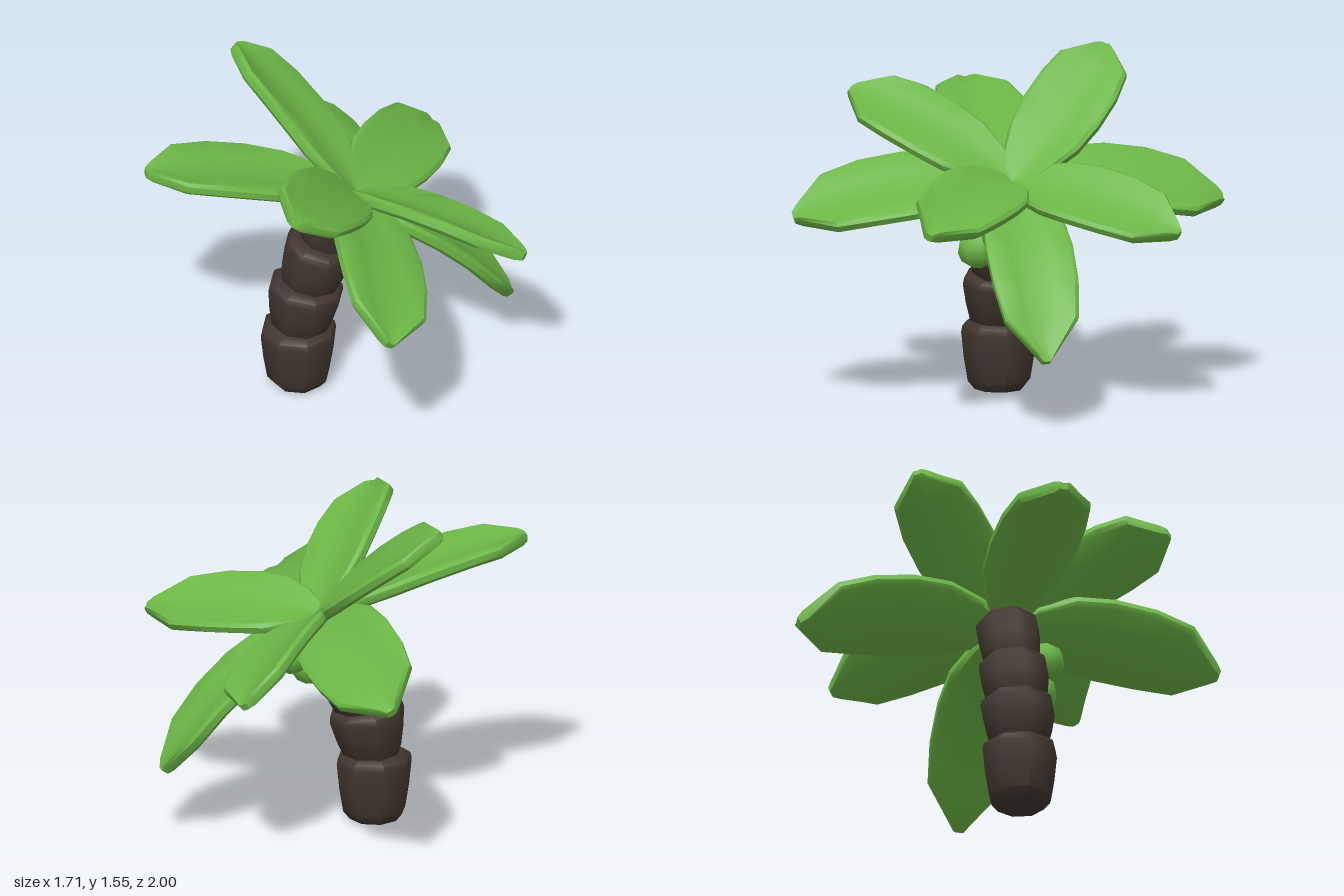
import * as THREE from 'three';
import { toCreasedNormals } from 'three/addons/utils/BufferGeometryUtils.js';

const V = (a) => new THREE.Vector3(...a);

// Half-width (relative) and thickness (relative) along a leaf: [t, width, thickness]
const LEAF_STATIONS = [
  [0, 0.25, 0.8], [0.12, 0.62, 1], [0.28, 0.92, 1], [0.45, 1, 1], [0.64, 0.98, 1],
  [0.82, 0.85, 1], [0.97, 0.22, 0.95], [1, 0.1, 0.6],
];

// Leaf cross-section, counter-clockwise: [across, thickness]
const LEAF_SECTION = [
  [1, -0.25], [1, 0.25], [0.9, 0.5], [0.45, 0.45], [0, 0.45], [-0.45, 0.45], [-0.9, 0.5],
  [-1, 0.25], [-1, -0.25], [-0.9, -0.5], [-0.45, -0.5], [0, -0.5], [0.45, -0.5], [0.9, -0.5],
];

// Bent leaf through base, mid and tip; side is its half-width vector at the middle
function leafGeometry(base, mid, tip, side) {
  const a = V(base), m = V(mid), b = V(tip);
  const control = m.clone().multiplyScalar(2).addScaledVector(a, -0.5).addScaledVector(b, -0.5);
  const curve = new THREE.QuadraticBezierCurve3(a, control, b);
  const half = V(side).length(), thick = 0.06, valley = 0.18;
  const positions = [], index = [], n = LEAF_SECTION.length;
  for (const [t, w, th] of LEAF_STATIONS) {
    const c = curve.getPoint(t), tangent = curve.getTangent(t);
    const s = V(side).addScaledVector(tangent, -V(side).dot(tangent)).normalize();
    const up = tangent.clone().cross(s);
    if (up.y < 0) { up.negate(); s.negate(); }
    for (const [u, v] of LEAF_SECTION) {
      const lift = valley * half * w * (Math.abs(u) - 0.5);
      const p = c.clone().addScaledVector(s, u * half * w).addScaledVector(up, v * thick * th + lift);
      positions.push(p.x, p.y, p.z);
    }
  }
  const last = (LEAF_STATIONS.length - 1) * n;
  for (let i = 0; i < last; i += n) {
    for (let j = 0; j < n; j++) {
      const k = (j + 1) % n;
      index.push(i + j, i + k, i + n + j, i + k, i + n + k, i + n + j);
    }
  }
  for (let j = 1; j < n - 1; j++) {
    index.push(0, j + 1, j, last, last + j, last + j + 1);
  }
  const g = new THREE.BufferGeometry();
  g.setAttribute('position', new THREE.Float32BufferAttribute(positions, 3));
  g.setIndex(index);
  return toCreasedNormals(g, 0.75);
}

// Flared trunk section with bevelled ends, height 1 unit scaled by h
function trunkGeometry(bottom, top, h) {
  const profile = [
    [0, 0], [bottom * 0.78, 0.01], [bottom, 0.05], [(bottom + top) * 0.51, h * 0.5],
    [top, h - 0.045], [top * 0.97, h - 0.015], [top * 0.8, h + 0.005], [0, h + 0.01],
  ].map(([x, y]) => new THREE.Vector2(x, y));
  return toCreasedNormals(new THREE.LatheGeometry(profile, 8), 0.85);
}

export function createModel() {
  const model = new THREE.Group();
  const green = new THREE.MeshStandardMaterial({ color: 0x6cb546 });
  green.name = 'leafGreen';
  const brown = new THREE.MeshStandardMaterial({ color: 0x40352d });
  brown.name = 'barkBrown';

  const add = (parent, name, geometry, material) => {
    const mesh = new THREE.Mesh(geometry, material);
    mesh.name = name;
    parent.add(mesh);
    return mesh;
  };

  // Leaning trunk of stacked sections: [x, y, lean, bottom radius, top radius, height]
  const trunk = new THREE.Group();
  trunk.name = 'trunk';
  model.add(trunk);
  [
    [-0.14, 0, 0, 0.145, 0.175, 0.32],
    [-0.14, 0.28, 0.15, 0.135, 0.175, 0.27],
    [-0.105, 0.51, 0.28, 0.135, 0.165, 0.26],
    [-0.035, 0.74, 0.36, 0.125, 0.15, 0.28],
  ].forEach(([x, y, lean, r0, r1, h], i) => {
    const section = add(trunk, `trunkSection${i + 1}`, trunkGeometry(r0, r1, h), brown);
    section.position.set(x, y, 0);
    section.rotation.z = -lean;
  });

  // Crown: name, base, middle, tip, half-width vector
  const crown = new THREE.Group();
  crown.name = 'crown';
  model.add(crown);
  const base = [0.12, 1.0, 0];
  const leaves = [
    ['rightLeaf', [0.1, 1.02, 0], [-0.4, 1.205, 0], [-0.85, 1.29, 0], [0, 0, 0.2]],
    ['leftLeaf', [0.1, 0.98, 0], [0.51, 0.73, 0], [0.84, 0.32, 0], [0, 0, 0.2]],
    ['frontLeaf', base, [0.1, 0.99, 0.52], [0.04, 0.87, 0.99], [0.195, -0.105, 0]],
    ['backLeaf', base, [0.1, 0.99, -0.52], [0.04, 0.87, -0.99], [0.195, -0.105, 0]],
    ['backLeftLeaf', base, [0.4, 0.965, -0.32], [0.64, 0.84, -0.66], [0.12, -0.09, 0.12]],
    ['frontLeftLeaf', base, [0.42, 1.0, 0.23], [0.78, 0.91, 0.53], [-0.1, 0.075, 0.15]],
    ['backRightLeaf', base, [-0.08, 1.3, -0.3], [-0.31, 1.53, -0.53], [0.135, -0.085, -0.11]],
    ['frontRightLeaf', base, [-0.1, 1.24, 0.35], [-0.32, 1.37, 0.65], [0.12, -0.08, 0.13]],
  ];
  for (const [name, ...shape] of leaves) add(crown, name, leafGeometry(...shape), green);

  // Cluster of fruit under the crown
  const fruit = new THREE.Group();
  fruit.name = 'fruitCluster';
  model.add(fruit);
  [[0.12, 0.71, 0.16, 0.09], [0.225, 0.79, 0.08, 0.085], [0.1, 0.86, 0.19, 0.09]].forEach(([x, y, z, r], i) => {
    const ball = add(fruit, `fruit${i + 1}`, new THREE.SphereGeometry(r, 8, 6), green);
    ball.position.set(x, y, z);
    ball.rotation.set(0.2, 0.4 * i, -0.3);
  });

  return model;
}
